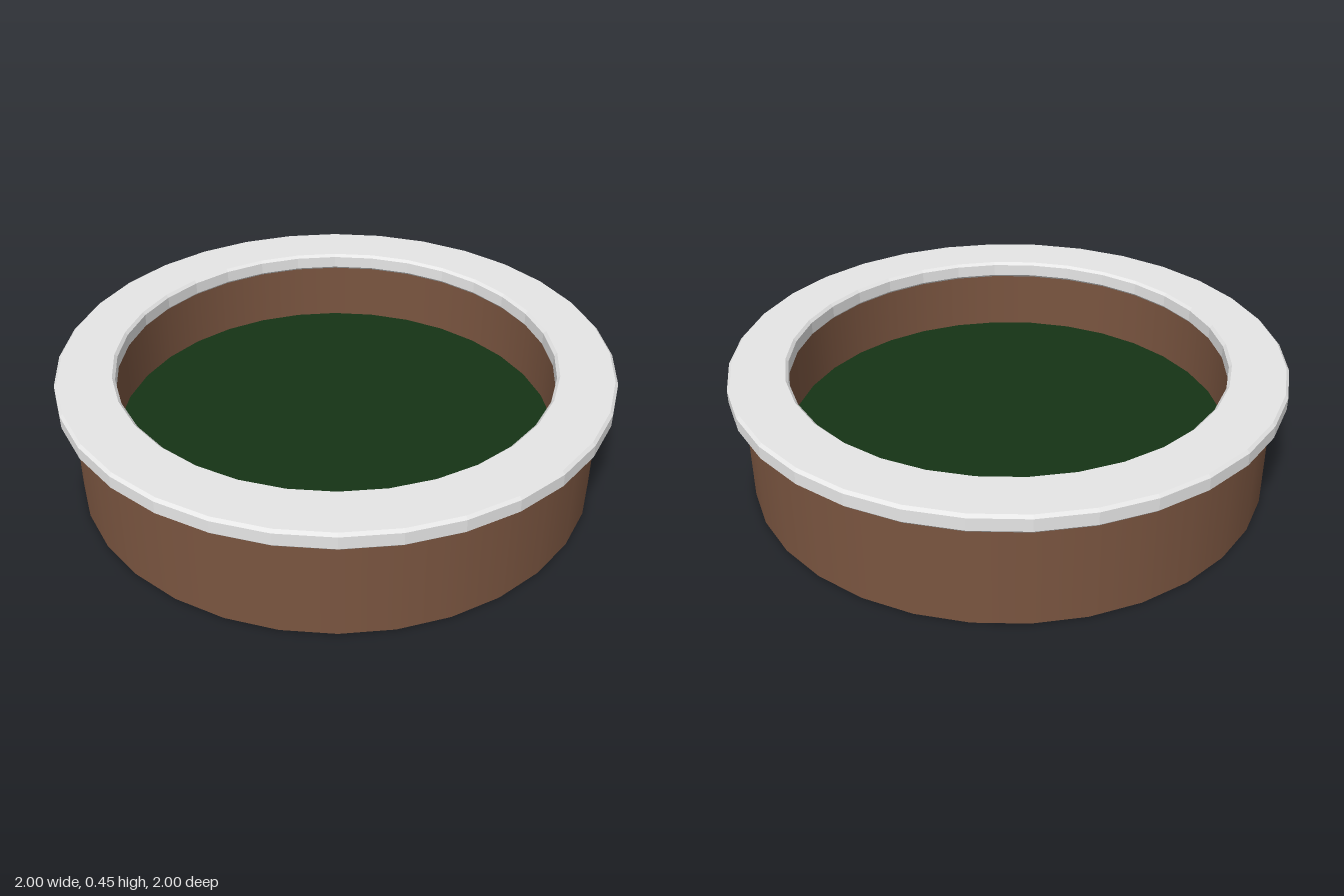
import * as THREE from 'three';

const SIDES = 32;
const WALL_R = 0.95, INNER_R = 0.81, FLOOR_Y = 0.16;
const RIM_Y = 0.385, TOP_Y = 0.45, BEVEL = 0.01;

function material(name, color) {
  const m = new THREE.MeshStandardMaterial({ color });
  m.name = name;
  return m;
}

// Open round wall: rising points face outward, falling points face the axis
function wall(radius, fromY, toY) {
  return new THREE.LatheGeometry(
    [new THREE.Vector2(radius, fromY), new THREE.Vector2(radius, toY)], SIDES);
}

export function createModel() {
  const brown = material('brown wall', 0x7a5540);
  const green = material('dark green', 0x153315);
  const grey = material('light grey', 0xe6e6e6);

  const model = new THREE.Group();
  model.name = 'roundBasin';
  const add = (name, geometry, mat) => {
    const mesh = new THREE.Mesh(geometry, mat);
    mesh.name = name;
    model.add(mesh);
  };

  // Round wall, with its inner face ending at the raised floor
  const wallTop = RIM_Y + 0.005;
  add('outerWall', wall(WALL_R, 0, wallTop), brown);
  add('innerWall', wall(INNER_R, wallTop, FLOOR_Y), brown);

  // Green floor and underside
  add('floor', new THREE.CircleGeometry(INNER_R, SIDES)
    .rotateX(-Math.PI / 2).translate(0, FLOOR_Y, 0), green);
  add('underside', new THREE.CircleGeometry(WALL_R, SIDES).rotateX(Math.PI / 2), green);

  // Flat ring on top with small bevels
  const ring = new THREE.Shape().absarc(0, 0, 1 - BEVEL, 0, Math.PI * 2, false);
  ring.holes.push(new THREE.Path().absarc(0, 0, 0.8, 0, Math.PI * 2, true));
  const rim = new THREE.ExtrudeGeometry(ring, {
    depth: TOP_Y - RIM_Y - 2 * BEVEL, curveSegments: SIDES / 2,
    bevelSize: BEVEL, bevelThickness: BEVEL, bevelSegments: 1,
  });
  rim.rotateX(-Math.PI / 2).translate(0, RIM_Y + BEVEL, 0);
  add('rim', rim, grey);

  return model;
}
